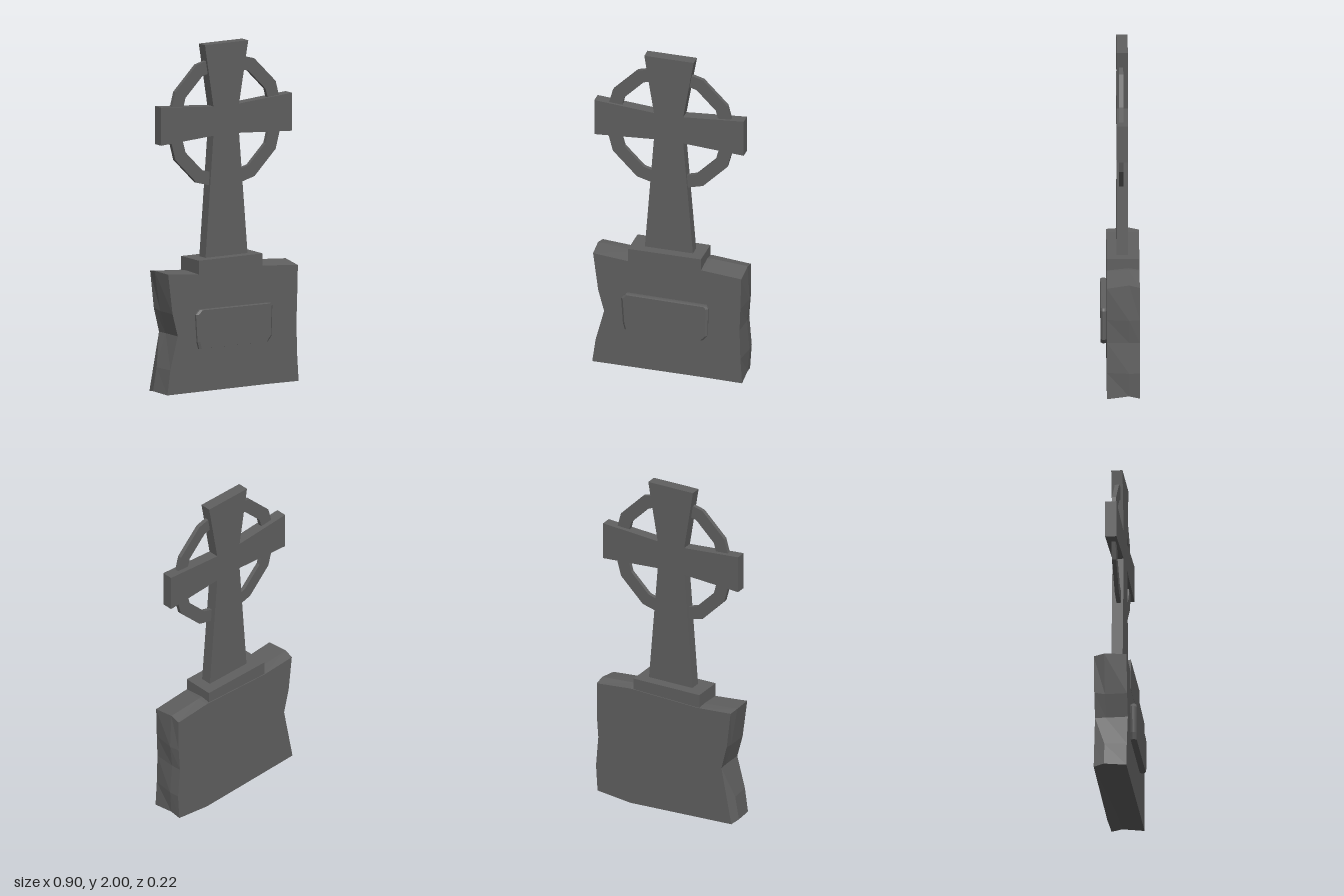
import * as THREE from 'three';

const stone = new THREE.MeshStandardMaterial({ color: 0x606060, flatShading: true });

function add(group, name, geometry) {
  const mesh = new THREE.Mesh(geometry, stone);
  mesh.name = name;
  group.add(mesh);
  return mesh;
}

// Closed solid through outlines (counter-clockwise, same point count), listed front to back
function loft(layers) {
  const n = layers[0].points.length;
  const positions = layers.flatMap(({ z, points }) => points.flatMap(([x, y]) => [x, y, z]));
  const index = [];
  for (let l = 0; l < layers.length - 1; l++) {
    for (let i = 0; i < n; i++) {
      const a = l * n + i, b = l * n + (i + 1) % n;
      index.push(a, a + n, b, b, a + n, b + n);
    }
  }
  const cap = (layer) => THREE.ShapeUtils.triangulateShape(layer.points.map(p => new THREE.Vector2(...p)), []);
  const last = (layers.length - 1) * n;
  for (const [a, b, c] of cap(layers[0])) index.push(a, b, c);
  for (const [a, b, c] of cap(layers[layers.length - 1])) index.push(last + a, last + c, last + b);
  const geometry = new THREE.BufferGeometry();
  geometry.setAttribute('position', new THREE.Float32BufferAttribute(positions, 3));
  geometry.setIndex(index);
  geometry.computeVertexNormals();
  return geometry;
}

function extrude(shape, zBack, zFront) {
  return new THREE.ExtrudeGeometry(shape, { depth: zFront - zBack, bevelEnabled: false }).translate(0, 0, zBack);
}

function polygon(radius, sides, cx, cy) {
  return Array.from({ length: sides }, (_, i) => {
    const a = i / sides * Math.PI * 2;
    return new THREE.Vector2(cx + radius * Math.cos(a), cy + radius * Math.sin(a));
  });
}

export function createModel() {
  const group = new THREE.Group();
  group.name = 'gravestone';

  // Rough-hewn base block: front, middle and back outlines
  const front = [
    [-0.44, 0.028], [0.22, 0.028], [0.445, 0.025], [0.435, 0.18], [0.43, 0.36], [0.435, 0.5],
    [0.44, 0.69], [0.21, 0.71], [-0.22, 0.7], [-0.435, 0.72], [-0.405, 0.49], [-0.37, 0.36], [-0.42, 0.17],
  ];
  const middle = [
    [-0.455, 0.035], [0.22, 0.02], [0.44, 0.04], [0.45, 0.18], [0.435, 0.36], [0.45, 0.5],
    [0.44, 0.71], [0.23, 0.725], [-0.22, 0.705], [-0.445, 0.725], [-0.405, 0.49], [-0.37, 0.36], [-0.43, 0.17],
  ];
  const back = [
    [-0.44, 0.025], [0.22, 0.0], [0.435, 0.025], [0.445, 0.18], [0.43, 0.36], [0.44, 0.5],
    [0.44, 0.695], [0.22, 0.715], [-0.22, 0.7], [-0.435, 0.715], [-0.41, 0.5], [-0.375, 0.36], [-0.41, 0.18],
  ];
  add(group, 'base', loft([
    { z: 0.076, points: front }, { z: -0.05, points: middle }, { z: -0.11, points: back },
  ]));

  // Blank plaque with chipped edges
  const plaque = [
    [-0.23, 0.28], [0.21, 0.28], [0.235, 0.31], [0.24, 0.48],
    [0.23, 0.495], [-0.225, 0.5], [-0.25, 0.475], [-0.24, 0.32],
  ];
  const swell = plaque.map(([x, y]) => [x * 1.05, 0.39 + (y - 0.39) * 1.02]);
  add(group, 'plaque', loft([
    { z: 0.11, points: plaque }, { z: 0.1, points: swell },
    { z: 0.088, points: swell }, { z: 0.07, points: plaque },
  ]));

  // Step under the shaft, flush with the front of the base
  add(group, 'plinth', new THREE.BoxGeometry(0.43, 0.18, 0.182)).position.set(-0.013, 0.69, -0.0145);

  // Flared cross
  const cross = new THREE.Shape([
    [-0.147, 0.77], [0.138, 0.77], [0.08, 1.475], [0.437, 1.452], [0.437, 1.67], [0.08, 1.643],
    [0.142, 2], [-0.15, 2], [-0.093, 1.643], [-0.445, 1.67], [-0.445, 1.452], [-0.093, 1.475],
  ].map(p => new THREE.Vector2(...p)));
  add(group, 'cross', extrude(cross, -0.044, 0.02));

  // Twelve-sided ring behind the arms
  const ring = new THREE.Shape(polygon(0.39, 12, -0.002, 1.551));
  ring.holes.push(new THREE.Path(polygon(0.312, 12, -0.002, 1.551).reverse()));
  add(group, 'ring', extrude(ring, -0.018, 0.006));

  return group;
}
